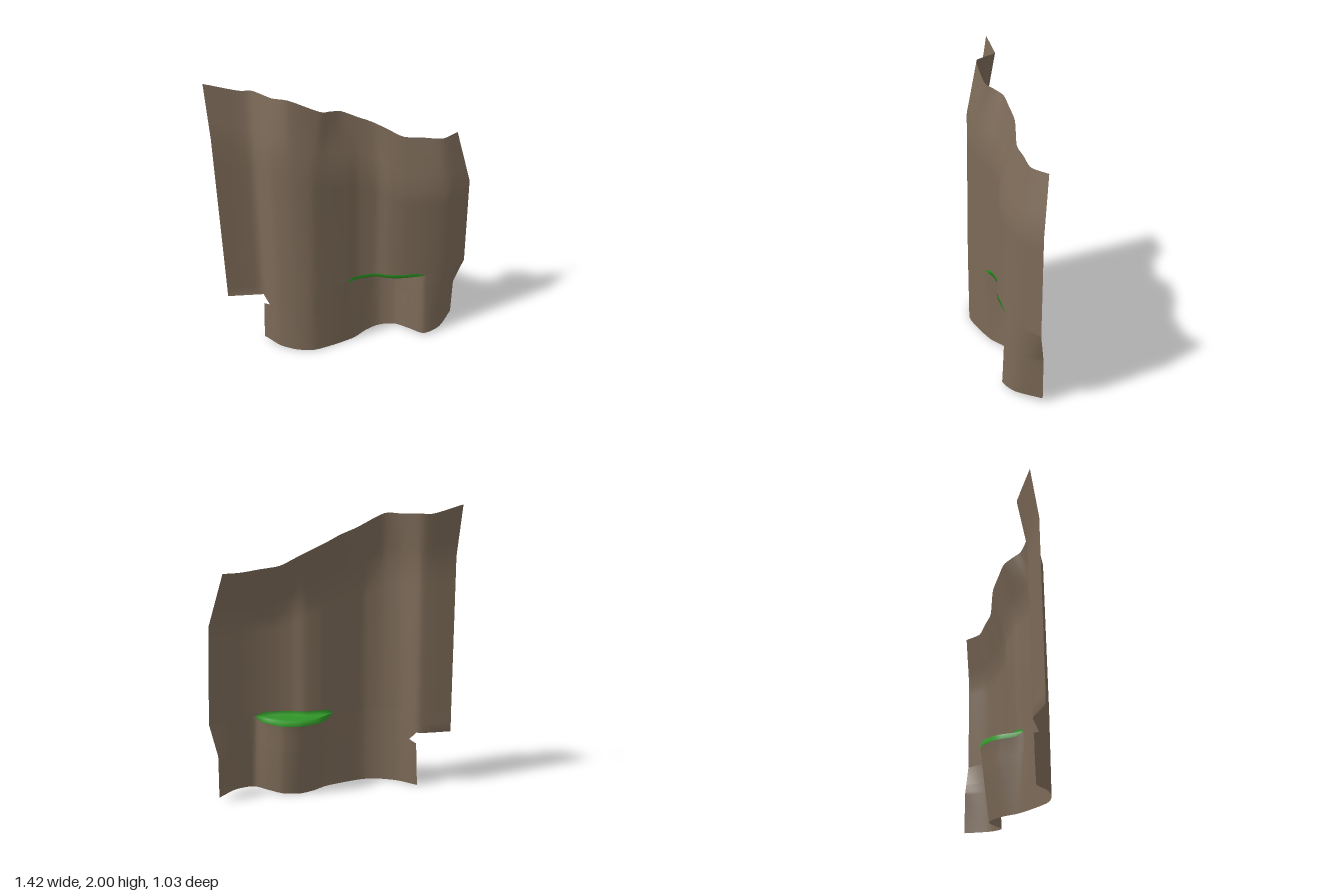
import * as THREE from 'three';

const SLIT_Y = 0.545, SLIT_START = 7, SLIT_END = 12, LAST = 14, STEPS = 6;

// Horizontal guide lines, one [x, z] pair per fold of the sheet
const bodyLine = [
  [-0.65, 0.515], [-0.52, 0.41], [-0.44, 0.37], [-0.3, 0.41], [-0.17, 0.39],
  [-0.06, 0.335], [0.02, 0.24], [0.1, 0.13], [0.15, 0.05], [0.24, -0.03],
  [0.33, -0.06], [0.42, -0.11], [0.54, -0.21], [0.64, -0.33], [0.71, -0.52],
];
const recessLine = bodyLine.map((p) => p.slice());
[[0.11, -0.06], [0.18, -0.19], [0.29, -0.25], [0.42, -0.235]].forEach((p, i) => { recessLine[8 + i] = p; });
const baseLine = [
  ...bodyLine.slice(0, 2), [-0.45, 0.385], ...bodyLine.slice(3, 6), [0.03, 0.23], [0.13, 0.08],
  [0.17, -0.04], [0.23, -0.14], [0.33, -0.2], [0.45, -0.2], [0.57, -0.2], [0.64, -0.32], [0.645, -0.515],
];
// Top edge as [x, y, z]
const topLine = [
  [-0.71, 2, 0.47], [-0.55, 1.94, 0.34], [-0.47, 1.94, 0.3], [-0.31, 1.94, 0.33], [-0.2, 1.94, 0.31],
  [-0.06, 1.85, 0.19], [-0.03, 1.825, 0.11], [0, 1.8, 0.03], [0.07, 1.75, -0.04], [0.15, 1.7, -0.11],
  [0.24, 1.65, -0.155], [0.33, 1.6, -0.2], [0.43, 1.58, -0.285], [0.53, 1.56, -0.37], [0.58, 1.56, -0.5],
];

const curve = (pts) => new THREE.CatmullRomCurve3(
  pts.map((p) => (p.length === 3 ? new THREE.Vector3(...p) : new THREE.Vector3(p[0], 0, p[1]))),
  false, 'catmullrom', 0.4);
const curves = { body: curve(bodyLine), recess: curve(recessLine), base: curve(baseLine), top: curve(topLine) };
const at = (name, u) => curves[name].getPoint(u / LAST);
const atHeight = (p, y) => { p.y = y; return p; };

// Recess path equals the body path outside the slit
const recessAt = (u) => at(u > SLIT_START && u < SLIT_END ? 'recess' : 'body', u);
// How far the slit is open: 0 at its ends, 1 along the middle
const opening = (u) => THREE.MathUtils.clamp(Math.min(u - SLIT_START, SLIT_END - u) * 2.5, 0, 1);
const lipTop = (u) => SLIT_Y + 0.028 * opening(u);
const lipBottom = (u) => SLIT_Y - 0.033 * opening(u);

// Grid surface from a rule point(row, u), rows running downwards
function sheet(name, material, rows, u0, u1, point) {
  const cols = (u1 - u0) * STEPS, pos = [], index = [];
  for (let r = 0; r < rows; r++) {
    for (let c = 0; c <= cols; c++) {
      const p = point(r, u0 + c / STEPS);
      pos.push(p.x, p.y, p.z);
      if (r < rows - 1 && c < cols) {
        const a = r * (cols + 1) + c, d = a + cols + 1;
        index.push(a, d, a + 1, a + 1, d, d + 1);
      }
    }
  }
  const geometry = new THREE.BufferGeometry();
  geometry.setAttribute('position', new THREE.Float32BufferAttribute(pos, 3));
  geometry.setIndex(index);
  geometry.computeVertexNormals();
  const mesh = new THREE.Mesh(geometry, material);
  mesh.name = name;
  return mesh;
}

export function createModel() {
  const brown = new THREE.MeshStandardMaterial({ color: 0x7b6957, side: THREE.DoubleSide });
  brown.name = 'brown';
  const green = new THREE.MeshStandardMaterial({ color: 0x2f9426, side: THREE.DoubleSide });
  green.name = 'green';
  const group = new THREE.Group();
  group.name = 'foldedSheet';

  // Upper sheet: top edge leans back above a shoulder, then hangs straight
  const upperRows = 11, shoulderRow = 3;
  group.add(sheet('upperSheet', brown, upperRows, 0, LAST, (r, u) => {
    const top = at('top', u), low = atHeight(at('body', u), lipTop(u));
    const shoulder = atHeight(low.clone().lerp(top, 0.15), top.y - 0.35);
    return r <= shoulderRow
      ? top.lerp(shoulder, r / shoulderRow)
      : shoulder.lerp(low, (r - shoulderRow) / (upperRows - 1 - shoulderRow));
  }));

  // Lower sheet: [height, first column]; the left flap stops short and leaves a torn notch
  const levels = [[SLIT_Y, 0], [0.47, 0], [0.4, 0], [0.4, 2], [0.34, 2.45], [0.32, 2.05], [0.24, 2], [0.16, 2], [0.08, 2], [0, 2]];
  group.add(sheet('lowerSheet', brown, levels.length, 0, LAST, (r, col) => {
    const [level, first] = levels[r];
    const u = Math.max(col, first);
    const t = 1 - level / SLIT_Y;
    const rightness = THREE.MathUtils.clamp(u - 13, 0, 1);
    const knee = 0.35 + 0.65 * rightness;
    const f = t < 0.4 ? (t / 0.4) * knee : knee + ((t - 0.4) / 0.6) * (1 - knee);
    const p = recessAt(u).lerp(at('base', u), f);
    const lift = 0.005 + 0.03 * Math.max(0, (u - 9) / 5);
    return atHeight(p, r === 0 ? lipBottom(u) : Math.max(level, lift));
  }));

  // Green slit lining: front lip, shelf and back lip
  group.add(sheet('slitLining', green, 6, SLIT_START, SLIT_END, (r, u) => {
    const front = at('body', u), back = recessAt(u);
    const depth = [0, 0, 0.33, 0.67, 1, 1][r];
    const y = r === 0 ? lipTop(u) : r === 5 ? lipBottom(u) : SLIT_Y;
    return atHeight(front.lerp(back, depth), y);
  }));

  return group;
}
